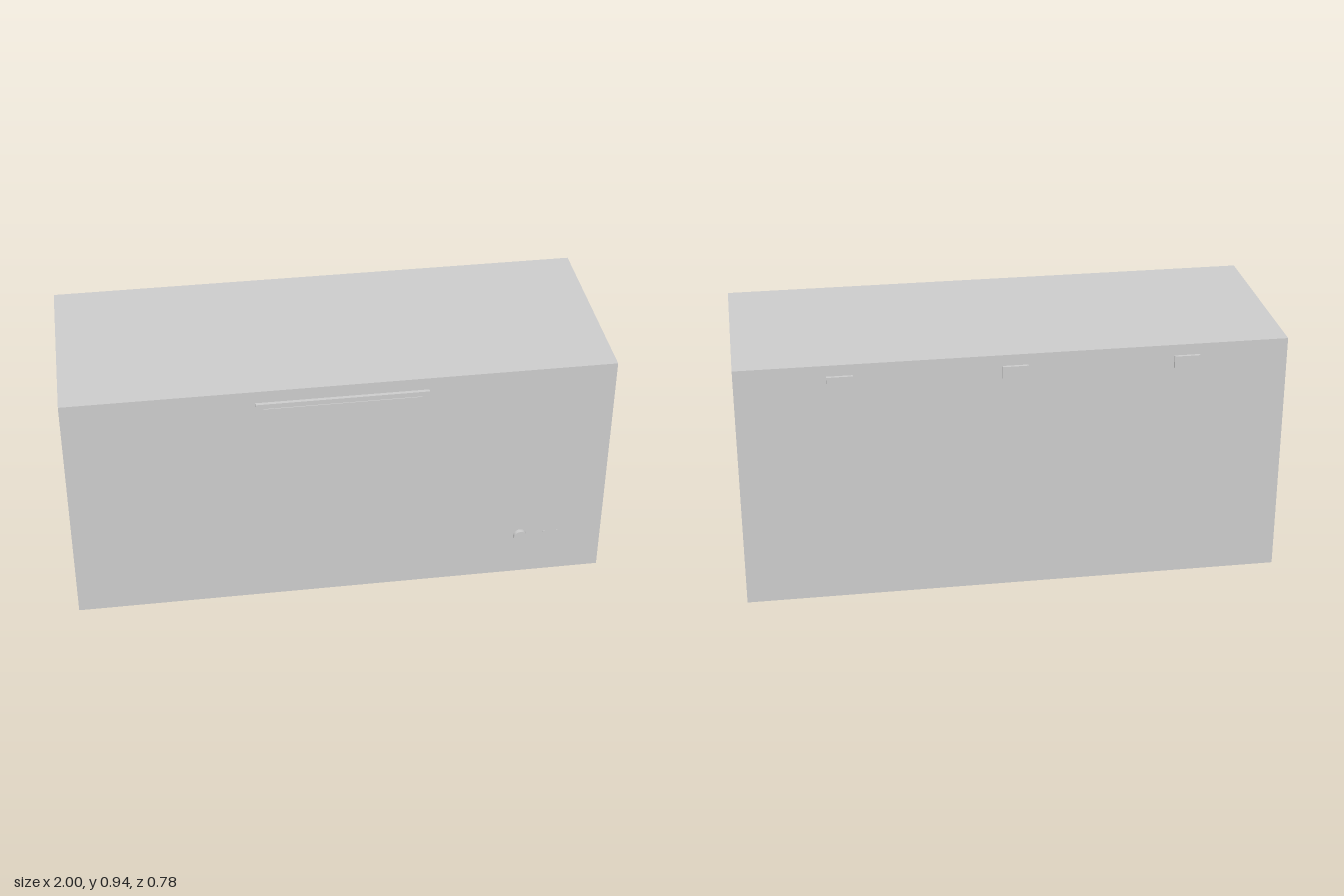
import * as THREE from 'three';

const FRONT = 0.372, BACK = -0.377;

export function createModel() {
  const group = new THREE.Group();
  const material = new THREE.MeshStandardMaterial({ color: 0xcccccc });

  const add = (name, geometry, x, y, z) => {
    const mesh = new THREE.Mesh(geometry, material);
    mesh.name = name;
    mesh.position.set(x, y, z);
    group.add(mesh);
    return mesh;
  };
  const box = (name, w, h, d, x, y, z) => add(name, new THREE.BoxGeometry(w, h, d), x, y, z);
  // Round part standing out from the front panel
  const disc = (name, r, depth, x, y, sides) =>
    add(name, new THREE.CylinderGeometry(r, r, depth, sides).rotateX(Math.PI / 2), x, y, FRONT + depth / 2);

  // Chest body
  box('body', 2, 0.935, FRONT - BACK, 0, 0.4675, (FRONT + BACK) / 2);

  // Long handle with a slim grip along its lower edge
  box('handle', 0.625, 0.031, 0.013, 0, 0.872, FRONT + 0.0065);
  box('handleGrip', 0.57, 0.011, 0.016, 0, 0.863, FRONT + 0.008);

  // Control knob and two small indicator lights
  disc('knob', 0.025, 0.016, 0.685, 0.178, 32);
  for (const x of [0.78, 0.83]) disc('indicatorLight', 0.005, 0.003, x, 0.184, 16);

  // Hinges on the back
  for (const x of [-0.627, 0, 0.627]) box('hinge', 0.094, 0.045, 0.011, x, 0.871, BACK - 0.0055);

  return group;
}
